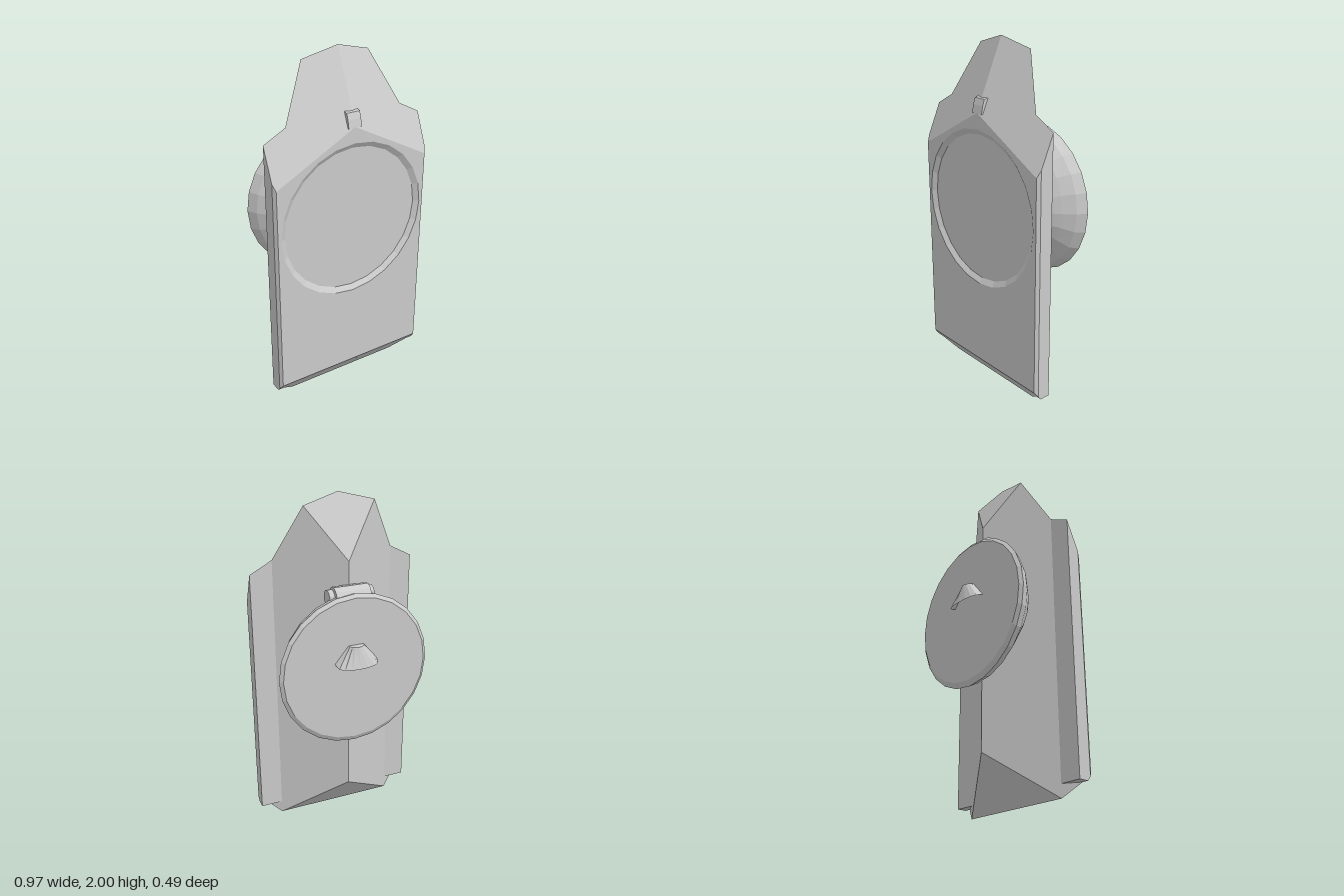
import * as THREE from 'three';
import { ConvexGeometry } from 'three/addons/geometries/ConvexGeometry.js';

const material = new THREE.MeshStandardMaterial({ color: 0xcccccc, flatShading: true, side: THREE.DoubleSide });

// Convex solid from half-spaces [nx, ny, nz, d], keeping points with n.p <= d
function solid(list) {
  const planes = list.map(([x, y, z, d]) => {
    const l = Math.hypot(x, y, z);
    return { n: new THREE.Vector3(x / l, y / l, z / l), d: d / l };
  });
  const pts = [];
  const n = planes.length;
  for (let i = 0; i < n; i++) for (let j = i + 1; j < n; j++) for (let k = j + 1; k < n; k++) {
    const [a, b, c] = [planes[i], planes[j], planes[k]];
    const bc = b.n.clone().cross(c.n);
    const det = a.n.dot(bc);
    if (Math.abs(det) < 1e-6) continue;
    const p = bc.multiplyScalar(a.d)
      .add(c.n.clone().cross(a.n).multiplyScalar(b.d))
      .add(a.n.clone().cross(b.n).multiplyScalar(c.d))
      .divideScalar(det);
    if (planes.every((q) => q.n.dot(p) <= q.d + 1e-6) && !pts.some((q) => q.distanceTo(p) < 1e-4)) pts.push(p);
  }
  return new ConvexGeometry(pts);
}

// Skin over closed rings of equal length; each end may be capped
function loft(rings, capStart, capEnd) {
  const n = rings[0].length;
  const pos = rings.flat(2);
  const idx = [];
  for (let j = 0; j < rings.length - 1; j++) {
    for (let i = 0; i < n; i++) {
      const a = j * n + i, b = j * n + (i + 1) % n;
      idx.push(a, b, a + n, b, b + n, a + n);
    }
  }
  const cap = (j, flip) => {
    const c = pos.length / 3;
    for (let k = 0; k < 3; k++) pos.push(rings[j].reduce((s, p) => s + p[k], 0) / n);
    for (let i = 0; i < n; i++) {
      const a = j * n + i, b = j * n + (i + 1) % n;
      idx.push(c, flip ? b : a, flip ? a : b);
    }
  };
  if (capStart) cap(0, true);
  if (capEnd) cap(rings.length - 1, false);
  const g = new THREE.BufferGeometry();
  g.setAttribute('position', new THREE.Float32BufferAttribute(pos, 3));
  g.setIndex(idx);
  g.computeVertexNormals();
  return g;
}

// Side profile in (z, y), extruded across x and centred
function sideExtrude(profile, width) {
  const shape = new THREE.Shape(profile.map(([z, y]) => new THREE.Vector2(z, y)));
  const g = new THREE.ExtrudeGeometry(shape, { depth: width, bevelEnabled: false });
  return g.rotateY(-Math.PI / 2).translate(width / 2, 0, 0);
}

export function createModel() {
  const group = new THREE.Group();
  const add = (name, geometry) => {
    const mesh = new THREE.Mesh(geometry, material);
    mesh.name = name;
    group.add(mesh);
    return mesh;
  };
  const both = (x, y, z, d) => [[x, y, z, d], [-x, y, z, d]];
  const DISC_Y = 1.07, SEG = 24;

  // Roof and underside cuts shared by slab and wedge
  const cuts = [
    ...both(0.532, 1, 2.294, 2.172),
    [0, 1, -2.19, 1.836],
    [0, -1, 1.276, 0.1876],
  ];

  // Triangular spine behind the slab
  add('wedgeSpine', solid([...cuts, [0, -1, -1.19, -0.175], ...both(0.64, 0, -1, 0.08), [0, 0, 1, 0.215]]));

  // Flat slab with chamfered front corners; its front face is left open
  const slab = solid([...cuts, ...both(1, 0, 0, 0.483), ...both(0.02, 0, 0.013, 0.012585),
    [0, 0, -1, -0.147], [0, 0, 1, 0.245], [0, -1, 0, -0.075]]);
  const src = slab.attributes.position.array;
  const kept = [];
  for (let i = 0; i < src.length; i += 9) {
    if (Math.min(src[i + 2], src[i + 5], src[i + 8]) < 0.2449) kept.push(...src.slice(i, i + 9));
  }
  const slabShell = new THREE.BufferGeometry();
  slabShell.setAttribute('position', new THREE.Float32BufferAttribute(kept, 3));
  slabShell.computeVertexNormals();
  add('frontSlab', slabShell);

  // Front face with a round opening
  const face = new THREE.Shape([[-0.47, 0.125], [0.47, 0.125], [0.47, 1.36], [0, 1.61], [-0.47, 1.36]]
    .map(([x, y]) => new THREE.Vector2(x, y)));
  const circle = [];
  for (let i = 0; i < SEG; i++) {
    const t = (i / SEG) * Math.PI * 2;
    circle.push(new THREE.Vector2(0.45 * Math.cos(t), DISC_Y + 0.45 * Math.sin(t)));
  }
  face.holes.push(new THREE.Path(circle));
  add('frontFace', new THREE.ShapeGeometry(face).translate(0, 0, 0.245));

  // Shallow round recess with a sloping wall
  const recess = [[0, 0.225], [0.42, 0.225], [0.45, 0.245]].map(([r, z]) => new THREE.Vector2(r, z));
  add('frontRecess', new THREE.LatheGeometry(recess, SEG).rotateX(Math.PI / 2).translate(0, DISC_Y, 0));

  // Small stud on the roof ridge
  add('ridgeStud', sideExtrude([[0.2, 1.605], [0.246, 1.605], [0.237, 1.65], [0.225, 1.685], [0.2, 1.69]], 0.08));

  // Rear bowl: [z, half width, height above centre, depth below centre]
  const sections = [
    [-0.18, 0.42, 0.42, 0.42], [-0.165, 0.44, 0.44, 0.45], [-0.11, 0.41, 0.425, 0.42],
    [-0.05, 0.355, 0.39, 0.325], [-0.02, 0.325, 0.35, 0.28], [0, 0.30, 0.2, 0.245],
    [0.02, 0.265, 0.1, 0.215], [0.05, 0.23, 0.03, 0.17],
  ];
  const bowl = sections.map(([z, w, up, down]) => {
    const ring = [];
    for (let i = 0; i < SEG; i++) {
      const t = (i / SEG) * Math.PI * 2, s = Math.sin(t);
      ring.push([w * Math.cos(t), DISC_Y + s * (s > 0 ? up : down), z]);
    }
    return ring;
  });
  add('rearBowl', loft(bowl, true, true));

  // Hinge block on the top rim, with a pin at each end
  add('hingeBlock', sideExtrude([[-0.178, 1.38], [-0.02, 1.38], [-0.022, 1.43], [-0.032, 1.48],
    [-0.07, 1.53], [-0.11, 1.538], [-0.14, 1.52], [-0.178, 1.465]], 0.2));
  for (const side of [1, -1]) {
    const pin = add(side > 0 ? 'leftHingePin' : 'rightHingePin',
      new THREE.CylinderGeometry(0.045, 0.045, 0.035, 12).rotateZ(Math.PI / 2));
    pin.position.set(side * 0.112, 1.475, -0.085);
  }

  // Flared scoop on the back of the bowl, open below
  const arch = (w, y, depth, power, drop) => {
    const ring = [];
    for (let i = 0; i <= 8; i++) {
      const t = (i / 8) * Math.PI;
      const s = Math.pow(Math.sin(t), power);
      ring.push([w * Math.cos(t), y - drop * s, -0.178 - depth * s]);
    }
    return ring;
  };
  add('rearScoop', loft([arch(0.125, 1.125, 0.07, 0.5, 0.022), arch(0.045, 1.222, 0.042, 1, 0)], false, true));

  return group;
}
